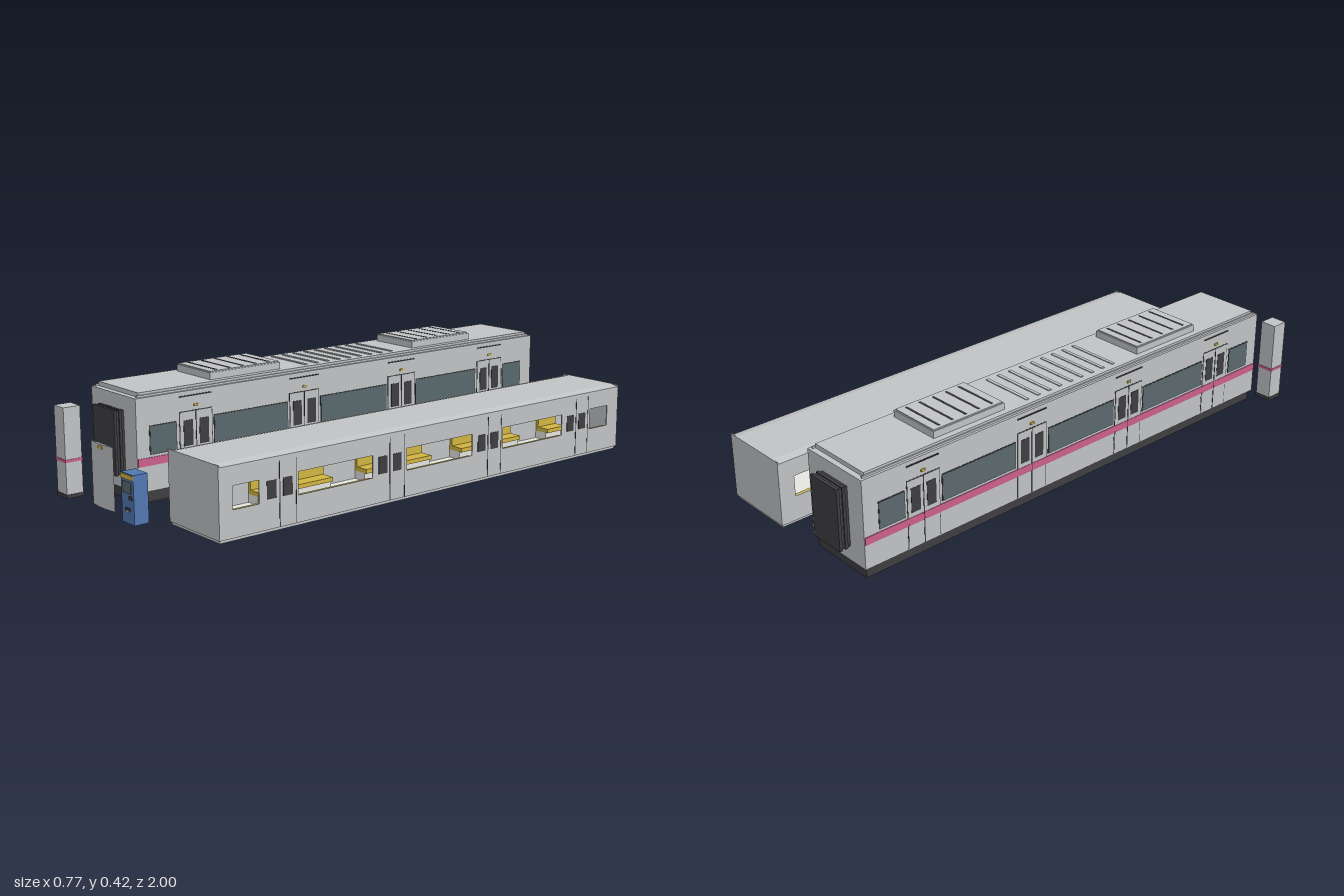
import * as THREE from 'three';

const mat = (name, color) => Object.assign(new THREE.MeshStandardMaterial({ color }), { name });
const steel = mat('light steel', 0xc0c2c4);
const dark = mat('dark rubber', 0x3e3e42);
const glass = mat('tinted glass', 0x5a696c);
const pink = mat('pink stripe', 0xcc5f8c);
const yellow = mat('yellow', 0xd0b541);
const blue = mat('machine blue', 0x5077b0);
const pale = mat('pale lining', 0xe4e4e0);

// Box given by its limits on each axis
function box(parent, name, material, x0, x1, y0, y1, z0, z1) {
  const m = new THREE.Mesh(new THREE.BoxGeometry(Math.abs(x1 - x0), y1 - y0, Math.abs(z1 - z0)), material);
  m.position.set((x0 + x1) / 2, (y0 + y1) / 2, (z0 + z1) / 2);
  m.name = name;
  parent.add(m);
  return m;
}

function group(parent, name, x = 0) {
  const g = new THREE.Group();
  g.name = name;
  g.position.x = x;
  parent.add(g);
  return g;
}

const Z0 = -0.957, Z1 = 0.876, HALF = 0.137;
const doors = [0.646, 0.19, -0.266, -0.724];
const windows = [[0.725, 0.825], [0.265, 0.572], [-0.19, 0.115], [-0.647, -0.34], [-0.897, -0.8]];

// Outer carriage
function carriage(root) {
  const car = group(root, 'carriage', -0.2075);
  box(car, 'carriageBody', steel, -HALF, HALF, 0.06, 0.375, Z0, Z1);
  box(car, 'roof', steel, -0.123, 0.123, 0.375, 0.39, Z0 + 0.02, Z1 - 0.02);
  box(car, 'underframe', dark, -0.126, 0.126, 0.022, 0.06, Z0 + 0.01, Z1 - 0.01);
  box(car, 'lowerUnderframe', dark, -0.115, 0.115, 0.014, 0.022, Z0 + 0.03, Z1 - 0.03);
  for (const z of [0.62, -0.7]) box(car, 'bogieCover', dark, -0.09, 0.09, 0.01, 0.014, z - 0.14, z + 0.14);

  // Gangway bellows at both ends
  for (const [a, b] of [[Z1, 0.915], [Z0, -1]]) {
    const d = (b - a) / 4;
    for (let i = 0; i < 4; i++) {
      const s = i % 2 ? 0 : 0.004;
      box(car, 'gangwayBellows', dark, -0.067 + s, 0.067 - s, 0.11 + s, 0.33 - s, a + i * d, a + (i + 1) * d);
    }
  }

  // Roof air conditioners with slots
  for (const z of [0.413, -0.5]) {
    const ac = group(car, 'airConditioner');
    box(ac, 'unitBase', steel, -0.1, 0.1, 0.39, 0.414, z - 0.147, z + 0.147);
    box(ac, 'unitLid', steel, -0.096, 0.096, 0.414, 0.418, z - 0.143, z + 0.143);
    for (let i = -2; i <= 2; i++)
      box(ac, 'ventSlot', dark, -0.083, 0.083, 0.416, 0.419, z + i * 0.055 - 0.004, z + i * 0.055 + 0.004);
  }
  for (let i = 0; i < 9; i++) {
    const z = -0.25 + i * 0.05;
    box(car, 'roofRib', steel, -0.1, 0.1, 0.39, 0.393, z - 0.006, z + 0.006);
  }

  // Mirrored sides
  for (const s of [-1, 1]) {
    const side = group(car, s > 0 ? 'leftSide' : 'rightSide');
    const plate = (name, m, t, y0, y1, z0, z1) => box(side, name, m, s * (HALF - 0.001), s * (HALF + t), y0, y1, z0, z1);
    plate('sideStripe', pink, 0.0025, 0.147, 0.174, Z0 + 0.002, Z1 - 0.002);
    box(side, 'roofGutter', steel, s * 0.123, s * 0.128, 0.375, 0.382, Z0 + 0.01, Z1 - 0.01);
    for (const [a, b] of windows) {
      plate('windowFrame', dark, 0.001, 0.182, 0.28, a - 0.003, b + 0.003);
      plate('window', glass, 0.002, 0.185, 0.277, a, b);
    }
    for (const z of doors) {
      plate('doorSurround', dark, 0.0005, 0.065, 0.308, z - 0.066, z + 0.066);
      plate('doorSeam', dark, 0.0028, 0.065, 0.305, z - 0.0015, z + 0.0015);
      plate('doorRail', dark, 0.003, 0.356, 0.36, z - 0.064, z + 0.064);
      plate('doorLamp', yellow, 0.004, 0.32, 0.328, z - 0.008, z + 0.008);
      for (const d of [-1, 1]) {
        plate('doorLeaf', steel, 0.0015, 0.065, 0.305, z + d * 0.001, z + d * 0.063);
        plate('doorStripe', pink, 0.0027, 0.147, 0.174, z + d * 0.002, z + d * 0.062);
        plate('doorWindow', dark, 0.0025, 0.19, 0.277, z + d * 0.013, z + d * 0.05);
      }
    }
  }
}

// Hollow cabin with benches and straps
function cabin(root) {
  const cab = group(root, 'cabin', 0.2485);
  box(cab, 'cabinBase', steel, -0.131, 0.131, 0, 0.01, Z0 + 0.005, Z1 - 0.005);
  box(cab, 'cabinFloor', steel, -0.136, 0.136, 0.01, 0.014, Z0, Z1);
  box(cab, 'floorLining', pale, -0.132, 0.132, 0.014, 0.016, Z0 + 0.004, Z1 - 0.004);
  box(cab, 'endWall', steel, -0.1365, 0.1365, 0.01, 0.247, Z1 - 0.004, Z1);
  box(cab, 'endWall', steel, -0.1365, 0.1365, 0.01, 0.247, Z0, Z0 + 0.004);

  // Roof with gently sloping edges
  const profile = new THREE.Shape([[-0.1365, 0.238], [-0.106, 0.243], [0.106, 0.243], [0.1365, 0.238],
    [0.1365, 0.24], [0.106, 0.247], [-0.106, 0.247], [-0.1365, 0.24]].map(p => new THREE.Vector2(...p)));
  const roof = new THREE.Mesh(new THREE.ExtrudeGeometry(profile, { depth: Z1 - Z0 - 0.002, bevelEnabled: false }), steel);
  roof.position.z = Z0 + 0.001;
  roof.name = 'cabinRoof';
  cab.add(roof);

  // Side wall outline drawn in (-z, y), with open windows
  const rect = (C, a, b, y0, y1) => new C([[-b, y0], [-a, y0], [-a, y1], [-b, y1]].map(p => new THREE.Vector2(...p)));
  const wall = rect(THREE.Shape, Z0, Z1, 0.01, 0.24);
  for (const [a, b] of windows) wall.holes.push(rect(THREE.Path, a, b, 0.1, 0.176));
  const wallGeo = new THREE.ExtrudeGeometry(wall, { depth: 0.004, bevelEnabled: false });
  wallGeo.rotateY(Math.PI / 2);

  for (const s of [-1, 1]) {
    const side = group(cab, s > 0 ? 'leftCabinSide' : 'rightCabinSide');
    const w = new THREE.Mesh(wallGeo, steel);
    w.name = 'cabinWall';
    w.position.x = s > 0 ? 0.1325 : -0.1365;
    side.add(w);
    for (const z of doors) {
      box(side, 'cabinDoorSeam', dark, s * 0.136, s * 0.1375, 0.012, 0.225, z - 0.0015, z + 0.0015);
      box(side, 'cabinDoorEdge', dark, s * 0.136, s * 0.1372, 0.012, 0.225, z - 0.066, z - 0.064);
      for (const d of [-1, 1])
        box(side, 'cabinDoorWindow', dark, s * 0.131, s * 0.1378, 0.108, 0.167, z + d * 0.013, z + d * 0.05);
    }
    for (const [a, b] of windows) {
      box(side, 'benchSeat', yellow, s * 0.07, s * 0.132, 0.045, 0.06, a, b);
      box(side, 'benchBack', yellow, s * 0.12, s * 0.132, 0.06, 0.098, a, b);
      box(side, 'benchFront', pale, s * 0.08, s * 0.132, 0.016, 0.045, a, b);
      // Hanging straps
      const n = Math.round((b - a) / 0.03);
      for (let i = 0; i < n; i++) {
        const z = a + (i + 0.5) * (b - a) / n;
        box(side, 'strap', yellow, s * 0.068, s * 0.072, 0.195, 0.215, z - 0.002, z + 0.002);
        const ring = new THREE.Mesh(new THREE.TorusGeometry(0.007, 0.0015, 4, 10), yellow);
        ring.rotation.y = Math.PI / 2;
        ring.position.set(s * 0.07, 0.188, z);
        ring.name = 'strapRing';
        side.add(ring);
      }
    }
    const rail = new THREE.Mesh(new THREE.CylinderGeometry(0.002, 0.002, Z1 - Z0 - 0.01, 6), steel);
    rail.rotation.x = Math.PI / 2;
    rail.position.set(s * 0.07, 0.215, (Z0 + Z1) / 2);
    rail.name = 'strapRail';
    side.add(rail);
  }
}

// Platform pieces in front
function platform(root) {
  const pillar = group(root, 'pillar');
  box(pillar, 'pillarShaft', steel, -0.385, -0.323, 0.02, 0.32, 0.935, 0.997);
  box(pillar, 'pillarBase', dark, -0.387, -0.321, 0.01, 0.023, 0.933, 0.999);
  box(pillar, 'pillarBand', pink, -0.387, -0.321, 0.133, 0.143, 0.933, 0.999);

  // Loose door leaf, slightly bowed
  const leaf = group(root, 'doorPanel');
  const bow = new THREE.Shape();
  bow.moveTo(-0.222, -0.956);
  bow.quadraticCurveTo(-0.1535, -0.97, -0.085, -0.956);
  bow.quadraticCurveTo(-0.1535, -0.95, -0.222, -0.956);
  const geo = new THREE.ExtrudeGeometry(bow, { depth: 0.215, bevelEnabled: false, curveSegments: 8 });
  geo.rotateX(-Math.PI / 2);
  const panel = new THREE.Mesh(geo, steel);
  panel.position.y = 0.01;
  panel.name = 'panelLeaf';
  leaf.add(panel);
  box(leaf, 'panelSticker', yellow, -0.167, -0.14, 0.21, 0.22, 0.96, 0.965);

  const machine = group(root, 'ticketMachine');
  box(machine, 'machineBody', blue, 0.012, 0.084, 0.01, 0.173, 0.935, 0.988);
  const face = (name, m, x0, x1, y0, y1) => box(machine, name, m, x0, x1, y0, y1, 0.986, 0.991);
  face('machineHeader', yellow, 0.013, 0.083, 0.155, 0.17);
  face('machineScreen', glass, 0.025, 0.072, 0.11, 0.147);
  face('cardSlot', dark, 0.057, 0.075, 0.09, 0.103);
  face('ticketSlot', dark, 0.035, 0.061, 0.052, 0.062);
  face('ticketTray', pale, 0.037, 0.059, 0.048, 0.052);
}

export function createModel() {
  const root = new THREE.Group();
  root.name = 'stationSet';
  carriage(root);
  cabin(root);
  platform(root);
  return root;
}
